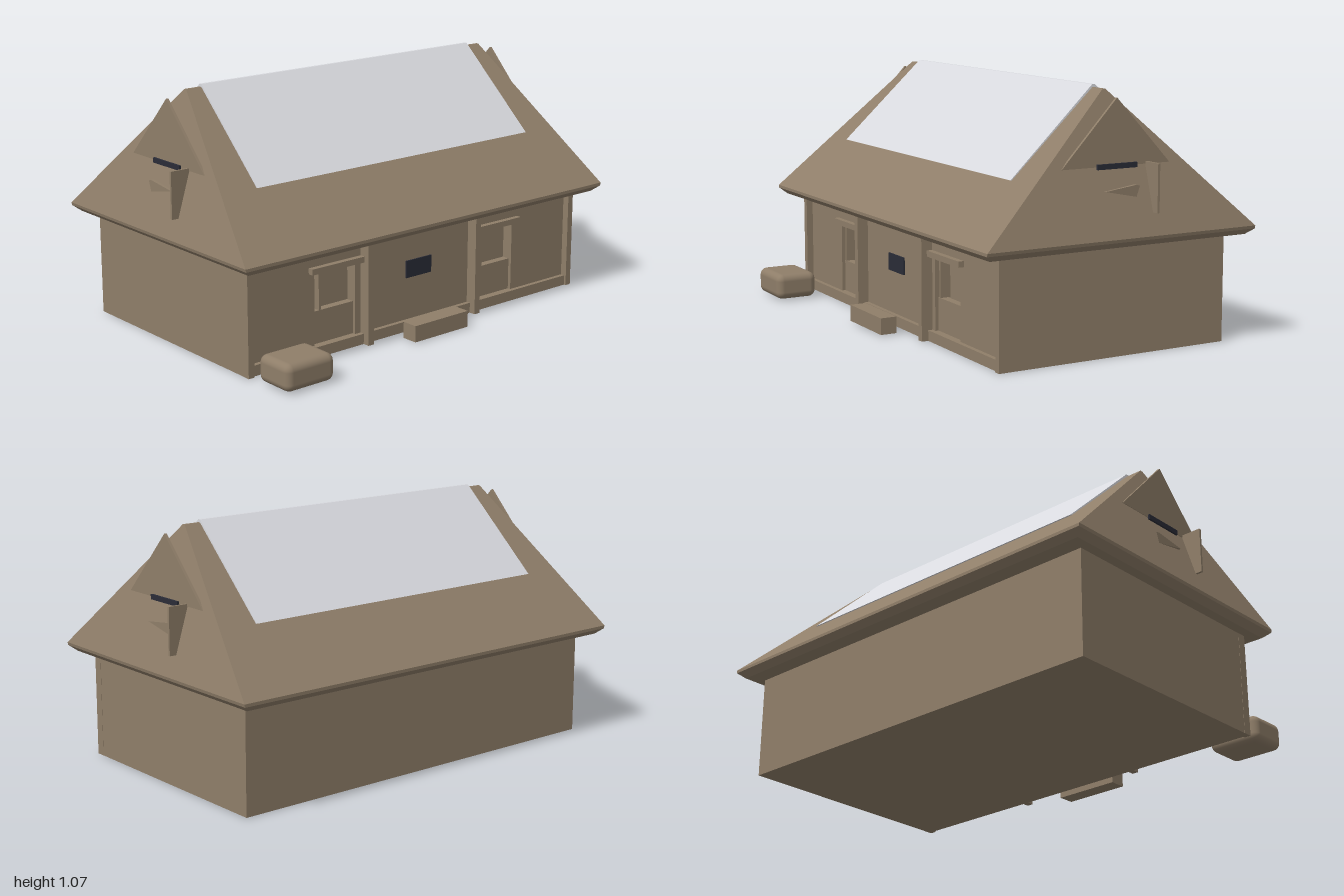
import * as THREE from 'three';
import { RoundedBoxGeometry } from 'three/addons/geometries/RoundedBoxGeometry.js';
import { ConvexGeometry } from 'three/addons/geometries/ConvexGeometry.js';

export function createModel() {
  const model = new THREE.Group();
  model.name = 'cottage';

  const material = (name, color) => {
    const m = new THREE.MeshStandardMaterial({ color });
    m.name = name;
    return m;
  };
  const brown = material('brown', 0x8f7e69);
  const pale = material('paleGrey', 0xd8d9de);
  const navy = material('darkNavy', 0x2a2c37);

  const add = (name, geometry, mat = brown) => {
    const mesh = new THREE.Mesh(geometry, mat);
    mesh.name = name;
    model.add(mesh);
    return mesh;
  };
  // Box given by its limits on each axis
  const box = (name, [x0, x1], [y0, y1], [z0, z1], mat) => {
    const g = new THREE.BoxGeometry(Math.abs(x1 - x0), y1 - y0, z1 - z0);
    g.translate((x0 + x1) / 2, (y0 + y1) / 2, (z0 + z1) / 2);
    return add(name, g, mat);
  };
  const hull = (name, points, mat) =>
    add(name, new ConvexGeometry(points.map((p) => new THREE.Vector3(...p))), mat);

  const ridgeZ = -0.0725;
  const doorways = [-0.565, 0.345]; // left edge of each doorway
  const doorWidth = 0.215;

  // House body and front wall with two doorways
  box('houseBody', [-0.92, 0.92], [0, 0.46], [-0.6, 0.38]);
  const wall = new THREE.Shape([[-0.92, 0], [0.92, 0], [0.92, 0.46], [-0.92, 0.46]]
    .map((p) => new THREE.Vector2(...p)));
  for (const x of doorways) {
    wall.holes.push(new THREE.Path([[x, 0.045], [x, 0.355], [x + doorWidth, 0.355], [x + doorWidth, 0.045]]
      .map((p) => new THREE.Vector2(...p))));
  }
  const wallGeometry = new THREE.ExtrudeGeometry(wall, { depth: 0.05, bevelEnabled: false });
  wallGeometry.translate(0, 0, 0.38);
  add('frontWall', wallGeometry);

  // Half doors, opened upper leaves and lintels
  for (const x of doorways) {
    box('lowerDoor', [x, x + doorWidth], [0.045, 0.185], [0.38, 0.415]);
    box('upperDoorLeaf', [x + 0.027, x + 0.038], [0.19, 0.345], [0.375, 0.425]);
    box('lintel', [x - 0.028, x + doorWidth + 0.03], [0.355, 0.38], [0.42, 0.455]);
  }

  // Front posts and sill
  for (const s of [-1, 1]) {
    box('cornerPost', [s * 0.892, s * 0.921], [0, 0.46], [0.42, 0.46]);
    box('innerPost', [s * 0.29, s * 0.32], [0, 0.46], [0.42, 0.48]);
  }
  box('sill', [-0.9, 0.9], [0, 0.045], [0.42, 0.45]);

  // Plaque, bench step and rounded block in front
  box('plaque', [-0.073, 0.07], [0.23, 0.305], [0.428, 0.436], navy);
  box('benchStep', [-0.152, 0.148], [0.004, 0.075], [0.51, 0.583]);
  const block = new RoundedBoxGeometry(0.24, 0.115, 0.19, 3, 0.032);
  block.translate(-0.796, 0.0625, 0.605);
  add('roundedBlock', block);

  // Hipped roof: underside, eave edge and ridge
  const roof = [];
  for (const s of [-1, 1]) {
    roof.push([s * 0.965, 0.45, 0.527], [s * 0.965, 0.45, -0.672]);
    roof.push([s * 0.995, 0.475, 0.555], [s * 0.995, 0.475, -0.7]);
    roof.push([s * 0.998, 0.488, 0.555], [s * 0.998, 0.488, -0.7]);
    roof.push([s * 0.82, 1.06, ridgeZ + 0.006], [s * 0.82, 1.06, ridgeZ - 0.006]);
  }
  hull('roof', roof);

  // Pale cover laid over the ridge
  const cover = [];
  for (const s of [-1, 1]) {
    cover.push([s * 0.755, 0.715, 0.314], [s * 0.755, 0.715, -0.46]);
    cover.push([s * 0.745, 1.072, ridgeZ + 0.006], [s * 0.745, 1.072, ridgeZ - 0.006]);
  }
  hull('roofCover', cover, pale);

  // Gable plates, slits, open shutters and brackets at both ends
  for (const s of [-1, 1]) {
    const gable = [];
    for (const x of [0.902, 0.914]) {
      gable.push([s * x, 0.765, 0.18], [s * x, 0.765, -0.325], [s * x, 1.033, ridgeZ]);
    }
    hull('gablePlate', gable);
    box('gableSlit', [s * 0.9, s * 0.923], [0.755, 0.776], [-0.165, 0.02], navy);

    const z = ridgeZ - s * 0.143;
    box('openShutter', [s * 0.88, s], [0.578, 0.775], [z - 0.005, z + 0.005]);

    const bracket = [];
    for (const x of [0.92, 0.95]) {
      bracket.push([s * x, 0.672, 0], [s * x, 0.69, -0.145], [s * x, 0.685, -0.16], [s * x, 0.642, -0.145]);
    }
    hull('bracket', bracket);
  }

  return model;
}
